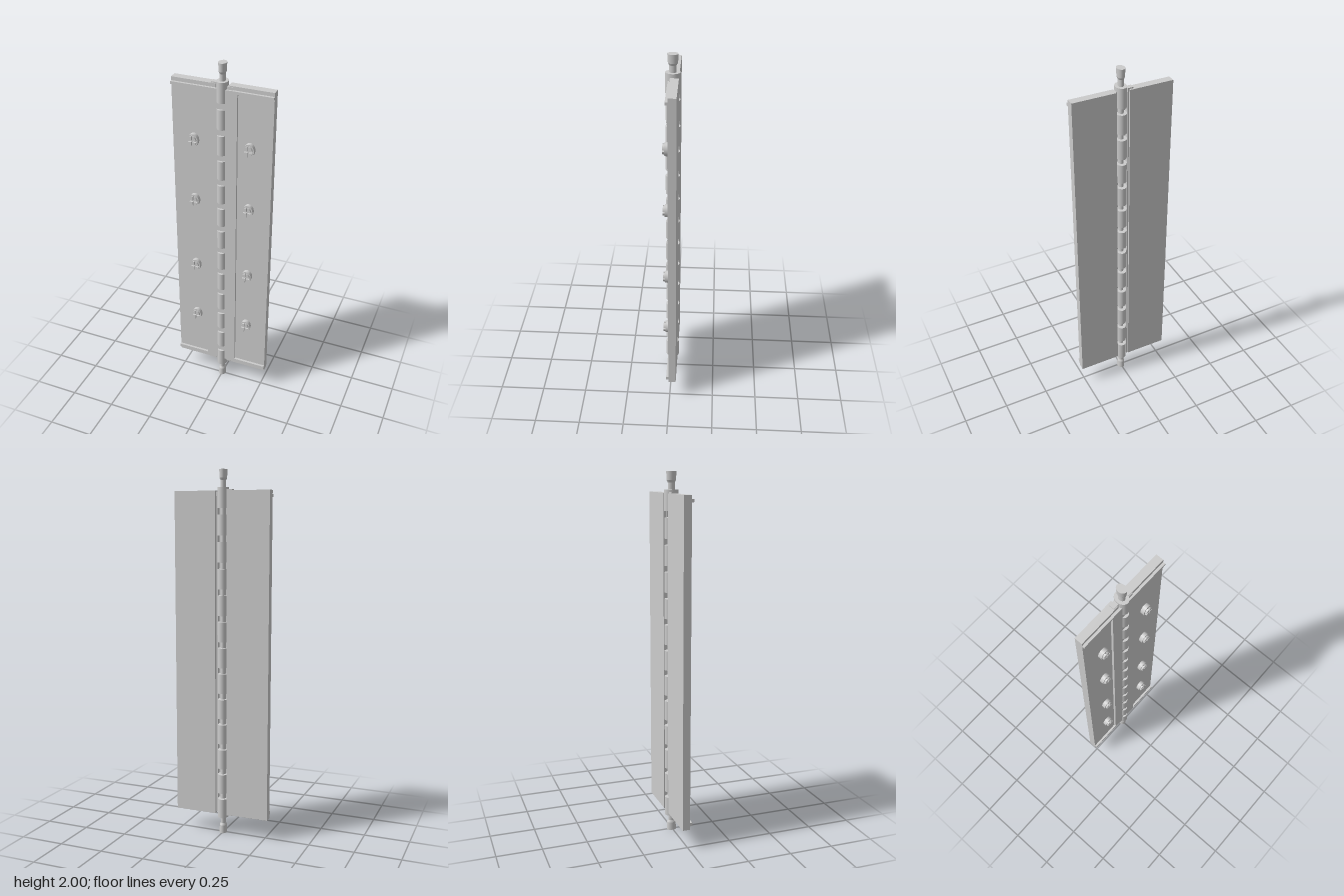
import * as THREE from 'three';

const material = new THREE.MeshStandardMaterial({ color: 0xcccccc });
const STRETCH = 1.3; // round parts are slightly oval

function add(parent, name, geometry, x = 0, y = 0, z = 0) {
  const mesh = new THREE.Mesh(geometry, material);
  mesh.name = name;
  mesh.position.set(x, y, z);
  parent.add(mesh);
  return mesh;
}

function box(parent, name, x0, x1, y0, y1, z0, z1) {
  return add(parent, name, new THREE.BoxGeometry(x1 - x0, y1 - y0, z1 - z0),
    (x0 + x1) / 2, (y0 + y1) / 2, (z0 + z1) / 2);
}

// Oval screw: washer disc topped by four quarters that leave a cross slot
function makeScrew() {
  const screw = new THREE.Group();
  screw.name = 'screw';
  const disc = add(screw, 'screwBase', new THREE.CylinderGeometry(0.028, 0.028, 0.022, 32), 0, 0, 0.011);
  disc.rotation.x = Math.PI / 2;
  const gap = 0.003, r = 0.022;
  const a = Math.asin(gap / r);
  const quarter = new THREE.Shape();
  quarter.moveTo(gap, gap);
  quarter.lineTo(r * Math.cos(a), gap);
  quarter.absarc(0, 0, r, a, Math.PI / 2 - a, false);
  quarter.closePath();
  const geometry = new THREE.ExtrudeGeometry(quarter, { depth: 0.01, bevelEnabled: false, curveSegments: 10 });
  for (let i = 0; i < 4; i++) {
    add(screw, 'screwHeadQuarter', geometry, 0, 0, 0.022).rotation.z = i * Math.PI / 2;
  }
  screw.scale.y = STRETCH;
  return screw;
}

export function createModel() {
  const group = new THREE.Group();
  group.name = 'pianoHinge';

  // Two boards
  box(group, 'rightBoard', -0.27, -0.035, 0.115, 1.89, -0.035, 0.007);
  box(group, 'leftBoard', 0.035, 0.27, 0.115, 1.89, -0.035, 0.007);

  // Raised front: centre strip with a rib along each end
  const half = [[0.27, 0.135], [0.27, 0.155], [0.085, 0.155], [0.085, 1.855], [0.27, 1.855], [0.27, 1.87]];
  const outline = [...half, ...half.slice().reverse().map(([x, y]) => [-x, y])];
  const plate = new THREE.Shape(outline.map(([x, y]) => new THREE.Vector2(x, y)));
  add(group, 'frontPlate', new THREE.ExtrudeGeometry(plate, { depth: 0.013, bevelEnabled: false }), 0, 0, 0.007);

  // Hinge leaves let into the board edges
  box(group, 'rightLeaf', -0.058, -0.027, 0.108, 1.896, -0.025, 0.003);
  box(group, 'leftLeaf', 0.027, 0.058, 0.12, 1.885, -0.017, 0.01);

  // Barrel of separate knuckles around a pin
  const barrel = new THREE.Group();
  barrel.name = 'barrel';
  barrel.position.z = -0.004;
  barrel.scale.z = STRETCH;
  group.add(barrel);
  const knuckle = new THREE.CylinderGeometry(0.029, 0.029, 0.108, 32);
  for (let i = 0; i < 13; i++) add(barrel, 'knuckle', knuckle, 0, 0.147 + i * 0.1422, 0);
  add(barrel, 'pin', new THREE.CylinderGeometry(0.014, 0.014, 1.9, 24), 0, 1, 0);

  // Pin ends: neck flaring into a flat knob, mirrored top and bottom
  for (const end of [1, -1]) {
    const knob = new THREE.Group();
    knob.name = end > 0 ? 'topKnob' : 'bottomKnob';
    knob.position.y = 1;
    if (end < 0) knob.rotation.x = Math.PI;
    add(knob, 'knobCap', new THREE.CylinderGeometry(0.021, 0.019, 0.045, 32), 0, 0.9775, 0);
    add(knob, 'knobTaper', new THREE.CylinderGeometry(0.019, 0.014, 0.012, 32), 0, 0.949, 0);
    barrel.add(knob);
  }

  // Screws, four on each board
  for (const x of [-0.152, 0.152]) {
    for (const y of [0.435, 0.79, 1.215, 1.57]) {
      const screw = makeScrew();
      screw.position.set(x, y, 0.007);
      group.add(screw);
    }
  }
  return group;
}
